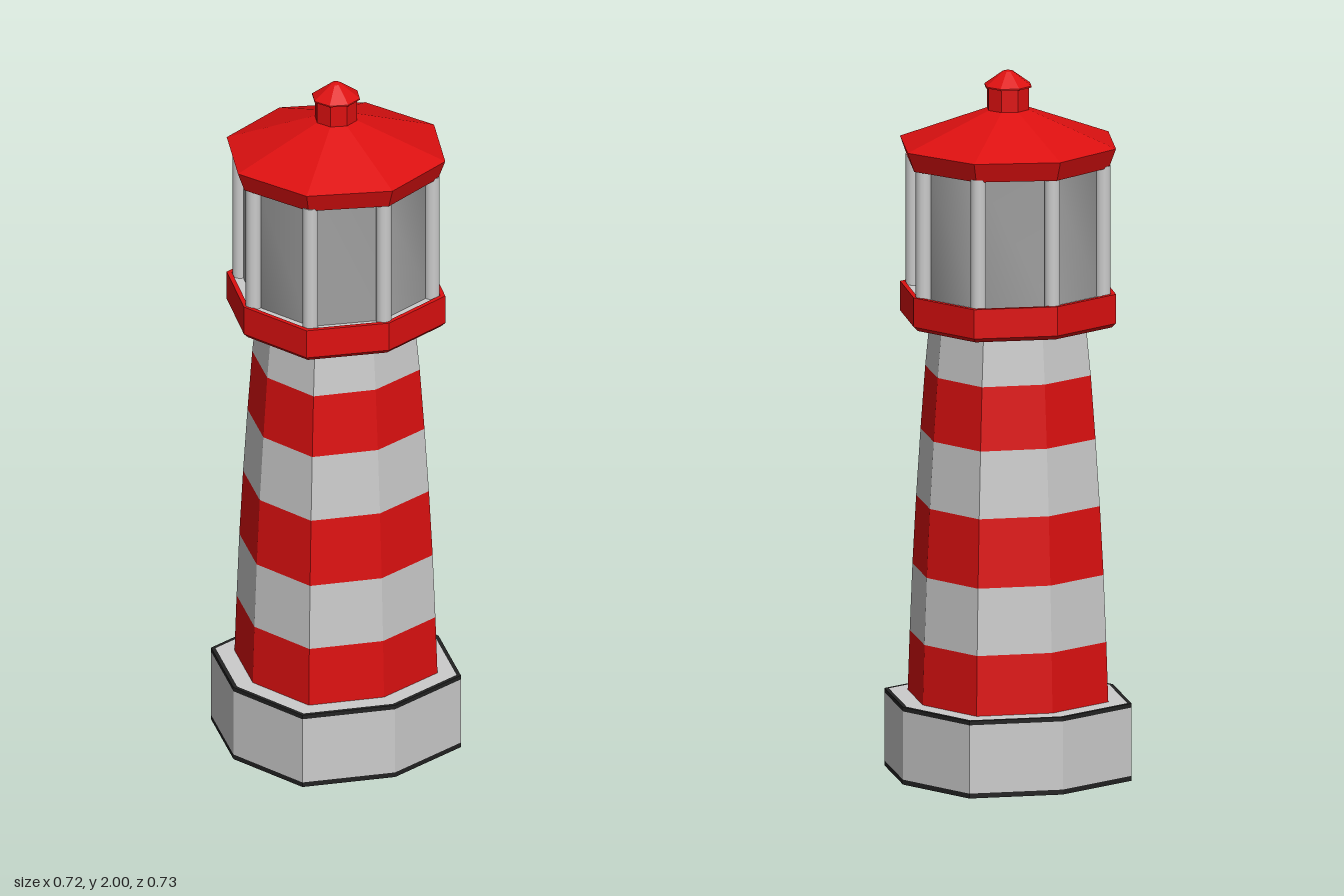
import * as THREE from 'three';

const material = (color, flatShading = true) =>
  new THREE.MeshStandardMaterial({ color, flatShading, side: THREE.DoubleSide });
const grey = material(0xcccccc);
const red = material(0xdd1010);
const dark = material(0x222222);
const glass = material(0xa0a0a0, false);
const smoothGrey = material(0xcccccc, false);

// Narrow x a little and pull in the diagonal corners of an octagon.
const X_SCALE = 0.98, DIAGONAL = 0.915;
function squash(geometry, diagonal) {
  const p = geometry.attributes.position;
  for (let i = 0; i < p.count; i++) {
    const x = p.getX(i), z = p.getZ(i);
    const k = Math.min(Math.abs(x), Math.abs(z)) > 1e-4 ? diagonal : 1;
    p.setX(i, x * k * X_SCALE);
    p.setZ(i, z * k);
  }
  geometry.computeVertexNormals();
  return geometry;
}

// Eight-sided solid turned from [radius, y] points, bottom to top.
function octagon(name, points, mat, diagonal = DIAGONAL) {
  const profile = points.map(([r, y]) => new THREE.Vector2(r, y));
  const mesh = new THREE.Mesh(squash(new THREE.LatheGeometry(profile, 8), diagonal), mat);
  mesh.name = name;
  return mesh;
}

export function createModel() {
  const model = new THREE.Group();
  model.name = 'lighthouse';

  // Hollow plinth with dark trims around both edges
  model.add(octagon('plinthWall', [[0.367, 0.014], [0.367, 0.208]], grey));
  model.add(octagon('plinthTop', [[0.354, 0.22], [0.29, 0.22]], grey));
  model.add(octagon('plinthTopTrim', [[0.367, 0.208], [0.367, 0.22], [0.354, 0.22]], dark));
  model.add(octagon('plinthBottomTrim', [[0.357, 0], [0.367, 0], [0.367, 0.014]], dark));

  // Tapering tower of alternating red and grey bands
  const rings = [[0.298, 0.22], [0.292, 0.39], [0.284, 0.58], [0.273, 0.775],
    [0.26, 0.965], [0.246, 1.145], [0.232, 1.285]];
  const tower = new THREE.Group();
  tower.name = 'tower';
  for (let i = 0; i < rings.length - 1; i++) {
    const points = [rings[i], rings[i + 1]];
    if (i === 0) points.unshift([0, 0.22]);
    tower.add(octagon('towerBand' + (i + 1), points, i % 2 ? grey : red));
  }
  model.add(tower);

  // Gallery: red rim around a grey floor
  model.add(octagon('galleryRim', [[0, 1.285], [0.308, 1.285], [0.321, 1.297], [0.321, 1.38],
    [0.306, 1.38], [0.306, 1.372]], red, 0.94));
  model.add(octagon('galleryFloor', [[0.306, 1.373], [0, 1.373]], grey, 0.94));

  // Lantern room with a post at every corner
  model.add(octagon('lanternGlass', [[0.275, 1.373], [0.275, 1.745]], glass, 0.95));
  const posts = new THREE.Group();
  posts.name = 'lanternPosts';
  const postGeometry = new THREE.CylinderGeometry(0.022, 0.022, 0.37, 12);
  for (let i = 0; i < 8; i++) {
    const angle = i * Math.PI / 4;
    const radius = 0.282 * (i % 2 ? 0.96 : 1);
    const post = new THREE.Mesh(postGeometry, smoothGrey);
    post.name = 'lanternPost';
    post.position.set(Math.sin(angle) * radius * X_SCALE, 1.559, Math.cos(angle) * radius);
    posts.add(post);
  }
  model.add(posts);

  // Roof with a flared eave
  model.add(octagon('roof', [[0, 1.738], [0.3, 1.738], [0.321, 1.793], [0.06, 1.89]], red, 1));

  // Vent with a small overhanging cap
  model.add(octagon('roofVent', [[0.062, 1.87], [0.062, 1.955]], red, 1));
  model.add(octagon('ventCap', [[0, 1.953], [0.07, 1.953], [0.07, 1.957], [0.015, 1.996], [0, 2]], red, 1));

  return model;
}
